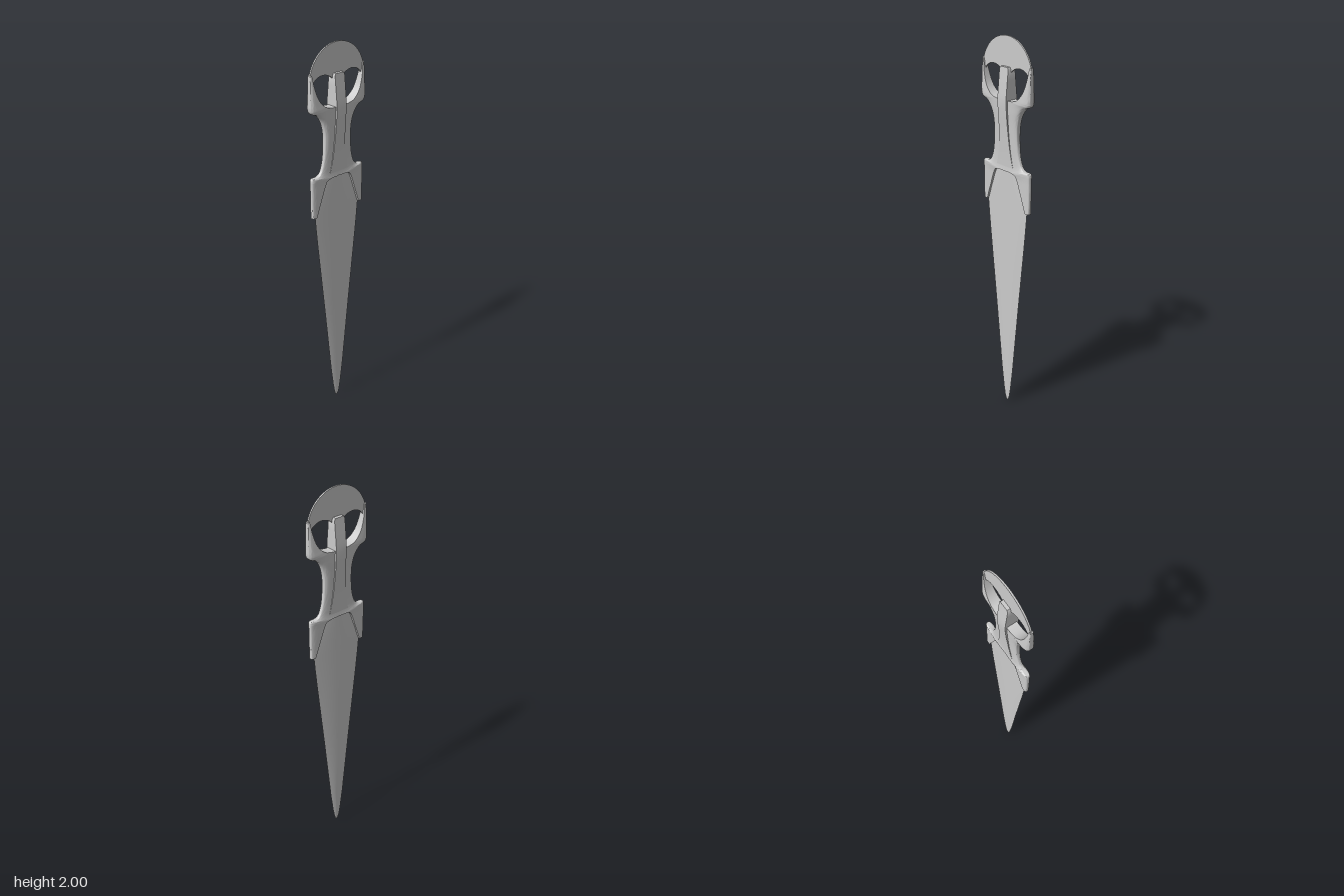
import * as THREE from 'three';
import { toCreasedNormals } from 'three/addons/utils/BufferGeometryUtils.js';

const material = new THREE.MeshStandardMaterial({ color: 0xcccccc });
const V = (x, y, z = 0) => new THREE.Vector3(x, y, z);

// Skin a stack of closed rings (counter-clockwise seen from above), capped at both ends
function loft(rings, crease = 0.6) {
  const n = rings[0].length, pos = [], index = [];
  rings.forEach(r => r.forEach(p => pos.push(p.x, p.y, p.z)));
  for (let i = 0; i < rings.length - 1; i++) {
    for (let j = 0; j < n; j++) {
      const k = (j + 1) % n, a = i * n + j, b = i * n + k, c = b + n, d = a + n;
      index.push(a, b, c, a, c, d);
    }
  }
  [0, rings.length - 1].forEach((i, top) => {
    const mid = rings[i].reduce((s, p) => s.add(p), V(0, 0)).divideScalar(n);
    const m = pos.length / 3;
    pos.push(mid.x, mid.y, mid.z);
    for (let j = 0; j < n; j++) {
      const a = i * n + j, b = i * n + (j + 1) % n;
      if (top) index.push(m, a, b); else index.push(m, b, a);
    }
  });
  const g = new THREE.BufferGeometry();
  g.setAttribute('position', new THREE.Float32BufferAttribute(pos, 3));
  g.setIndex(index);
  return toCreasedNormals(g, crease);
}

function part(name, geometry) {
  const mesh = new THREE.Mesh(geometry, material);
  mesh.name = name;
  return mesh;
}

// Smooth leaf-shaped blade with a thin lens section: [y, half width, half thickness]
function bladeGeometry() {
  const stations = [
    [0, 0.003, 0.001], [0.008, 0.01, 0.002], [0.03, 0.017, 0.003], [0.08, 0.026, 0.004],
    [0.2, 0.042, 0.005], [0.4, 0.063, 0.006], [0.6, 0.084, 0.006], [0.8, 0.106, 0.007],
    [1.0, 0.128, 0.007], [1.1, 0.138, 0.007], [1.17, 0.144, 0.007], [1.25, 0.14, 0.007], [1.37, 0.09, 0.007],
  ];
  const N = 10;
  return loft(stations.map(([y, w, d]) => {
    const ring = [];
    for (let j = 0; j < 2 * N; j++) {
      const t = j <= N ? -1 + 2 * j / N : 3 - 2 * j / N;
      ring.push(V(t * w, y, (j <= N ? 1 : -1) * d * (1 - t * t)));
    }
    return ring;
  }), 0.3);
}

// One half of the hilt, from guard tip up to horn: [inner x, inner y, outer x, outer y, half thickness]
const hilt = [
  [0.14, 1.17, 0.165, 1.17, 0.012], [0.11, 1.255, 0.167, 1.25, 0.013],
  [0.077, 1.34, 0.167, 1.34, 0.015], [0.066, 1.349, 0.167, 1.368, 0.017],
  [0.035, 1.355, 0.163, 1.376, 0.018], [0, 1.357, 0.135, 1.378, 0.017],
  [0, 1.385, 0.113, 1.39, 0.015], [0, 1.44, 0.093, 1.44, 0.015],
  [0, 1.53, 0.083, 1.53, 0.018], [0, 1.6, 0.086, 1.6, 0.021],
  [0, 1.65, 0.102, 1.65, 0.024], [0, 1.704, 0.132, 1.684, 0.026],
  [0.045, 1.707, 0.162, 1.697, 0.026], [0.088, 1.718, 0.17, 1.71, 0.025],
  [0.125, 1.755, 0.171, 1.755, 0.021], [0.149, 1.82, 0.17, 1.82, 0.015],
  [0.158, 1.875, 0.169, 1.88, 0.009],
];

function hiltGeometry(side) {
  const curve = f => new THREE.CatmullRomCurve3(hilt.map(f), false, 'centripetal');
  const inner = curve(s => V(s[0], s[1])), outer = curve(s => V(s[2], s[3]));
  const steps = (hilt.length - 1) * 4, N = 9, rings = [];
  for (let i = 0; i <= steps; i++) {
    const u = i / steps, p = inner.getPoint(u), q = outer.getPoint(u);
    const k = Math.min(Math.floor(i / 4), hilt.length - 2);
    const T = THREE.MathUtils.lerp(hilt[k][4], hilt[k + 1][4], i / 4 - k);
    const ring = [];
    for (let j = 0; j <= 2 * N; j++) {
      const a = Math.min(j, 2 * N - j) / N * Math.PI / 2;
      const pt = p.clone().lerp(q, Math.sqrt(Math.sin(a)));
      pt.x = Math.max(pt.x, 0) * side;
      pt.z = j === N ? 0 : (j < N ? 1 : -1) * T * Math.sqrt(Math.cos(a));
      ring.push(pt);
    }
    rings.push(side > 0 ? ring : ring.reverse());
  }
  return loft(rings, 0.7);
}

// Square rib down the middle of the grip: [y, half width, half depth]
function ribGeometry() {
  const stations = [
    [1.36, 0.065, 0.015], [1.4, 0.052, 0.016], [1.45, 0.042, 0.018], [1.5, 0.036, 0.021],
    [1.55, 0.032, 0.024], [1.6, 0.03, 0.028], [1.65, 0.03, 0.032], [1.7, 0.03, 0.035],
    [1.74, 0.03, 0.032], [1.8, 0.03, 0.026], [1.85, 0.03, 0.021], [1.86, 0.024, 0.02],
  ];
  return loft(stations.map(([y, w, d]) => [V(-w, y, d), V(w, y, d), V(w, y, -d), V(-w, y, -d)]));
}

// Thin domed pommel plate whose lower edge arches over the two openings
function pommelGeometry() {
  const s = new THREE.Shape();
  s.moveTo(0.16, 1.83);
  s.lineTo(0.164, 1.875);
  s.absarc(0, 1.83, 0.17, 0.268, Math.PI - 0.268, false);
  s.lineTo(-0.16, 1.83);
  s.lineTo(-0.153, 1.828);
  s.bezierCurveTo(-0.125, 1.872, -0.065, 1.872, -0.028, 1.835);
  s.lineTo(0.028, 1.835);
  s.bezierCurveTo(0.065, 1.872, 0.125, 1.872, 0.153, 1.828);
  const g = new THREE.ExtrudeGeometry(s, { depth: 0.008, bevelEnabled: false, curveSegments: 40 });
  g.translate(0, 0, -0.004);
  return toCreasedNormals(g, 0.6);
}

export function createModel() {
  const model = new THREE.Group();
  model.name = 'dagger';
  model.add(
    part('blade', bladeGeometry()),
    part('leftHilt', hiltGeometry(1)),
    part('rightHilt', hiltGeometry(-1)),
    part('gripRib', ribGeometry()),
    part('pommelPlate', pommelGeometry()),
  );
  return model;
}
